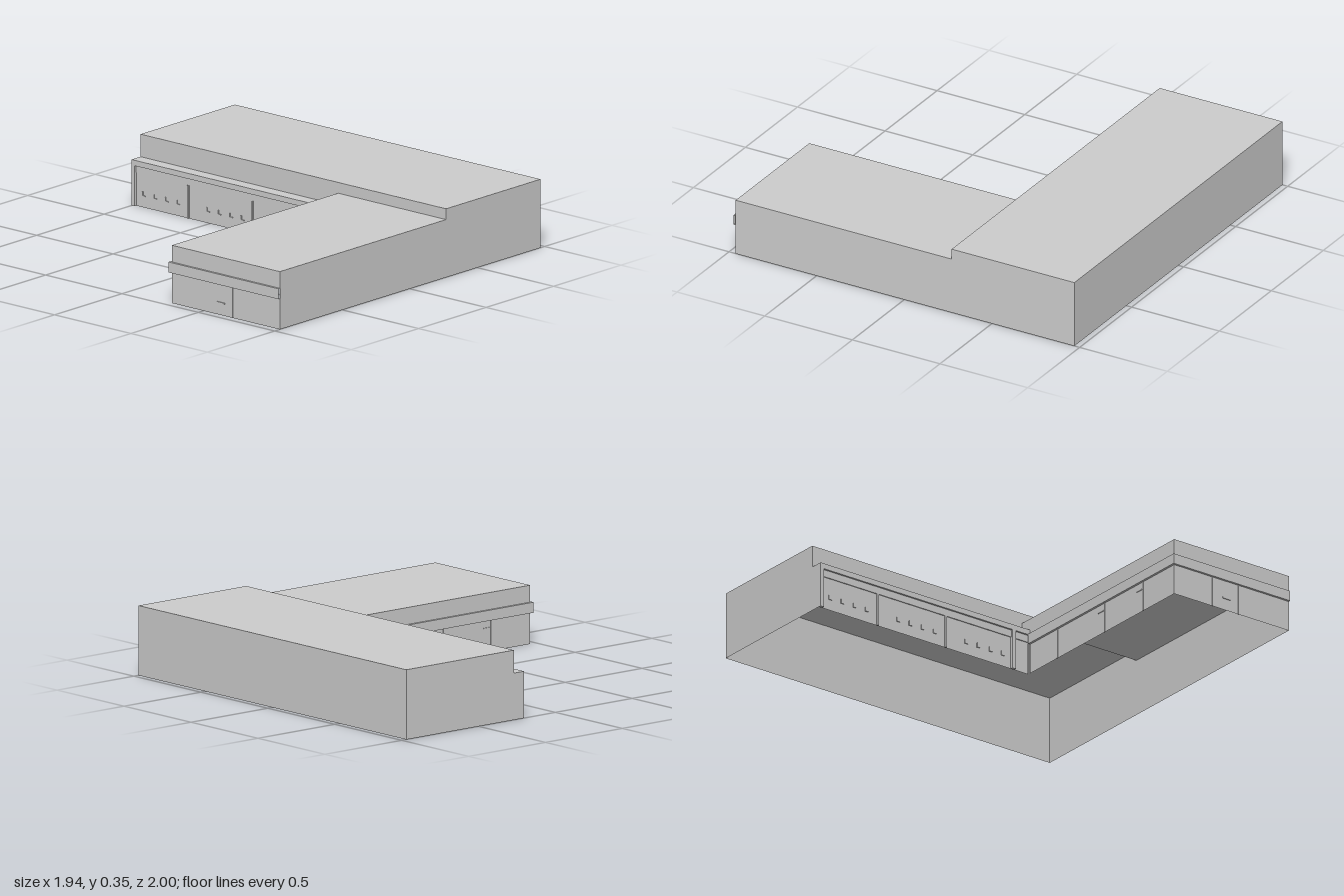
import * as THREE from 'three';

const mat = new THREE.MeshStandardMaterial({ color: 0xcccccc, flatShading: true, side: THREE.DoubleSide });

// Open sheet lofted through cross-sections (lists of [x, y, z] with equal length)
function loft(name, sections) {
  const pos = [];
  for (let s = 0; s < sections.length - 1; s++) {
    const a = sections[s], b = sections[s + 1];
    for (let i = 0; i < a.length - 1; i++) {
      pos.push(...a[i], ...a[i + 1], ...b[i], ...b[i], ...a[i + 1], ...b[i + 1]);
    }
  }
  const geo = new THREE.BufferGeometry();
  geo.setAttribute('position', new THREE.Float32BufferAttribute(pos, 3));
  geo.computeVertexNormals();
  const mesh = new THREE.Mesh(geo, mat);
  mesh.name = name;
  return mesh;
}

// Flat vertical wall at a given z, outlined in x and y
function endWall(name, outline, z) {
  const shape = new THREE.Shape(outline.map(([x, y]) => new THREE.Vector2(x, y)));
  const mesh = new THREE.Mesh(new THREE.ShapeGeometry(shape), mat);
  mesh.position.z = z;
  mesh.name = name;
  return mesh;
}

function box(name, x0, x1, y0, y1, z0, z1) {
  const mesh = new THREE.Mesh(new THREE.BoxGeometry(x1 - x0, y1 - y0, z1 - z0), mat);
  mesh.position.set((x0 + x1) / 2, (y0 + y1) / 2, (z0 + z1) / 2);
  mesh.name = name;
  return mesh;
}

export function createModel() {
  const g = new THREE.Group();
  g.name = 'cornerBuilding';

  const R = 0.97, L = -0.962, step = 0.27, face = 0.203, inner = 0.293;
  const tall = 0.35, low = 0.295, ledge = 0.235;

  // Tall wing: outer side wall, roof and stepped inner facade, open underneath
  const tallProfile = [[R, 0], [R, tall], [step, tall], [step, ledge], [face, ledge],
    [face, 0.207], [0.213, 0.207], [0.213, 0.17], [0.218, 0.17], [0.218, 0]];
  g.add(loft('tallWing', [-1, inner].map(z => tallProfile.map(([x, y]) => [x, y, z]))));
  const cornerProfile = [[R, 0], [R, tall], [step, tall], [step, low]];
  g.add(loft('tallWingCorner', [inner, 1].map(z => cornerProfile.map(([x, y]) => [x, y, z]))));
  g.add(endWall('tallWingBackWall',
    [[face, 0], [R, 0], [R, tall], [step, tall], [step, ledge], [face, ledge]], -1));

  // Long front wall across both wings
  g.add(endWall('frontWall',
    [[L, 0], [R, 0], [R, tall], [step, tall], [step, low], [L, low]], 1));

  // Low wing: roof, then facade with a projecting band that turns the corner
  g.add(loft('lowRoof', [inner, 1].map(z => [[step, low, z], [L, low, z]])));
  g.add(loft('lowWallReturn', [face, step].map(x => [[x, ledge, inner], [x, low, inner]])));
  const lowProfile = [[0, low], [0, 0.21], [0.012, 0.21], [0.012, 0.157], [0, 0.157], [0, 0]];
  g.add(loft('lowFacade', [
    lowProfile.map(([o, y]) => [face, y, inner - o]),
    lowProfile.map(([o, y]) => [L - o, y, inner - o]),
    lowProfile.map(([o, y]) => [L - o, y, 1]),
  ]));

  // Pillars and panel joints along the tall wing
  for (const z of [-1, 0.185]) g.add(box('pillar', face, 0.219, 0, 0.207, z, z + 0.02));
  for (const z of [-0.64, -0.22]) g.add(box('panelJoint', 0.211, 0.22, 0, 0.17, z - 0.005, z + 0.005));

  // Small handles on the tall wing panels
  for (const start of [-0.94, -0.52, -0.1]) {
    for (let i = 0; i < 4; i++) {
      const z = start + i * 0.075;
      g.add(box('handle', 0.213, 0.221, 0.06, 0.08, z, z + 0.004));
      g.add(box('handleFoot', 0.213, 0.221, 0.057, 0.061, z, z + 0.02));
    }
  }

  // Panel joints and handles on the low wing
  for (const x of [-0.02, -0.4, -0.71]) {
    g.add(box('panelJoint', x - 0.004, x + 0.004, 0, 0.157, inner - 0.003, inner + 0.003));
  }
  for (const x of [-0.37, -0.68]) {
    g.add(box('handle', x - 0.02, x + 0.02, 0.117, 0.122, inner - 0.004, inner + 0.003));
  }
  for (const z of [0.53, 0.69]) {
    g.add(box('panelJoint', L - 0.003, L + 0.003, 0, 0.157, z - 0.004, z + 0.004));
  }
  g.add(box('handle', L - 0.005, L + 0.003, 0.06, 0.066, 0.59, 0.64));

  return g;
}
